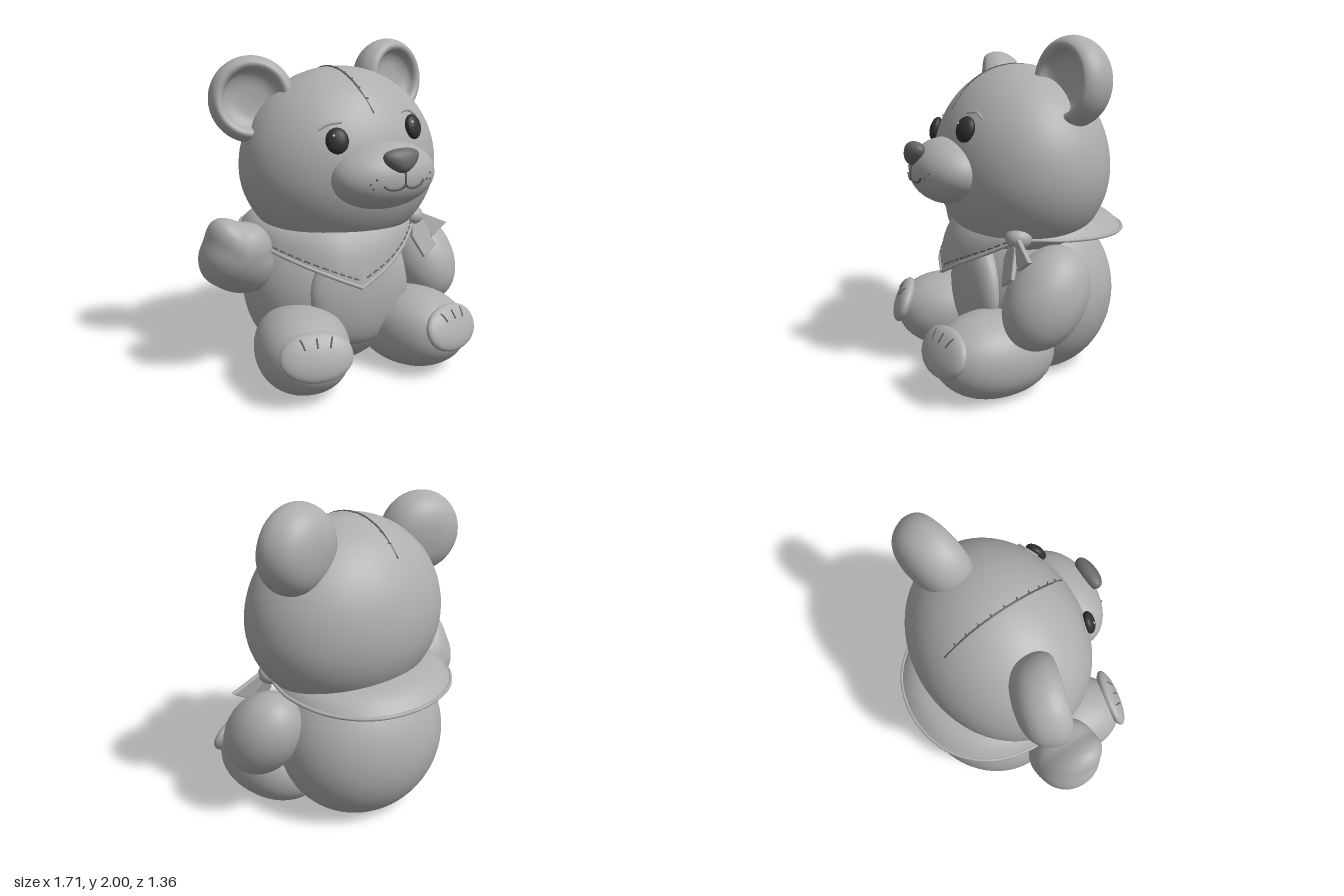
import * as THREE from 'three';
import { mergeVertices } from 'three/addons/utils/BufferGeometryUtils.js';

const paint = (name, color, side = THREE.FrontSide) => {
  const m = new THREE.MeshStandardMaterial({ color, side });
  m.name = name;
  return m;
};
const V = (x, y, z) => new THREE.Vector3(x, y, z);

export function createModel() {
  const root = new THREE.Group();
  root.name = 'teddyBear';
  const fur = paint('fur', 0xaeaeae);
  const cloth = paint('cloth', 0xaeaeae, THREE.DoubleSide);
  const thread = paint('thread', 0x606060);
  const noseMat = paint('nose', 0x686868);
  const eyeMat = paint('eye', 0x303030);
  const shine = paint('eyeShine', 0xdddddd);

  const add = (name, geo, mat) => {
    const m = new THREE.Mesh(geo, mat);
    m.name = name;
    root.add(m);
    return m;
  };

  // Rounded mass: p above 2 gives a fuller shape, low changes the lower half, flat rests it on the floor,
  // outline gives its radius by angle seen from the front, lean tips the top forward
  function blob(name, mat, c, r, { rot = [0, 0, 0], p = 2, low = r[1], taper = 0, lean = 0, outline, flat = false, seg = 48 } = {}) {
    let g = new THREE.SphereGeometry(1, seg, Math.round(seg * 0.7));
    g.deleteAttribute('uv');
    g.deleteAttribute('normal');
    g = mergeVertices(g, 1e-5);
    const turn = new THREE.Euler(...rot), pos = g.attributes.position, v = V(0, 0, 0);
    for (let i = 0; i < pos.count; i++) {
      v.fromBufferAttribute(pos, i);
      v.multiplyScalar(Math.pow(Math.abs(v.x) ** p + Math.abs(v.y) ** p + Math.abs(v.z) ** p, -1 / p));
      v.x *= 1 + taper * v.y;
      const k = outline ? outline.getPoint((Math.atan2(v.y, v.x) / (2 * Math.PI) + 1) % 1).x : 1;
      v.set(v.x * r[0] * k, v.y * (v.y < 0 ? low : r[1]) * k, v.z * r[2]).applyEuler(turn);
      v.z += lean * v.y;
      v.add(V(...c));
      if (flat) v.y = Math.max(v.y, 0.005);
      pos.setXYZ(i, v.x, v.y, v.z);
    }
    g.computeVertexNormals();
    return add(name, g, mat);
  }

  const line = (name, pts, radius, mat = thread) =>
    add(name, new THREE.TubeGeometry(new THREE.CatmullRomCurve3(pts), Math.max(2, pts.length * 4), radius, 6), mat);

  // Height of the head and muzzle surfaces, used to lay details on them
  const head = { c: [0.065, 1.25, -0.033], r: [0.625, 0.59, 0.508] };
  const muzzle = { c: [0.095, 1.245, 0.425], r: [0.325, 0.192, 0.22] };
  const root2 = (a, b) => Math.sqrt(Math.max(0, 1 - a * a - b * b));
  const onFront = (s, x, y, lift = 0) =>
    V(x, y, s.c[2] + lift + s.r[2] * root2((x - s.c[0]) / s.r[0], (y - s.c[1]) / s.r[1]));
  const onTop = (x, z, lift = 0) =>
    V(x, head.c[1] + lift + head.r[1] * root2((x - head.c[0]) / head.r[0], (z - head.c[2]) / head.r[2]), z);

  // Body, belly patch and head
  blob('body', fur, [0.03, 0.475, -0.135], [0.54, 0.53, 0.482], { flat: true, seg: 64 });
  blob('belly', fur, [0.055, 0.51, 0.25], [0.335, 0.34, 0.122]);
  blob('head', fur, head.c, head.r, { low: 0.535, seg: 72 });
  blob('muzzle', fur, muzzle.c, muzzle.r, { rot: [0, 0, 0.05] });
  blob('nose', noseMat, [0.092, 1.35, 0.622], [0.1, 0.068, 0.055], { taper: 0.42, p: 2.2, rot: [-0.2, 0, 0.05], seg: 32 });

  // Cupped ears
  const earProfile = new THREE.SplineCurve([
    [0, -0.165], [0.1, -0.155], [0.18, -0.122], [0.23, -0.066], [0.25, 0.01], [0.237, 0.07],
    [0.207, 0.103], [0.177, 0.092], [0.157, 0.05], [0.1, 0.02], [0, 0.012],
  ].map(([x, y]) => new THREE.Vector2(x, y))).getPoints(44);
  earProfile.forEach((q) => { q.x = Math.max(0, q.x); });
  for (const [name, x, y, z, ry] of [['rightEar', -0.475, 1.652, -0.095, -0.3], ['leftEar', 0.492, 1.75, -0.165, 0.25]]) {
    const ear = add(name, new THREE.LatheGeometry(earProfile, 48).rotateX(Math.PI / 2), fur);
    ear.position.set(x, y, z);
    ear.rotation.set(-0.08, ry, 0);
  }

  // Arms: the right one raised with an upturned paw, the left one resting
  const pawOutline = new THREE.CatmullRomCurve3(
    [0.205, 0.205, 0.208, 0.21, 0.268, 0.225, 0.225, 0.222, 0.215, 0.24, 0.27, 0.245].map((r) => V(r, 0, 0)), true, 'catmullrom');
  blob('rightArm', fur, [-0.63, 0.765, 0.01], [1, 1, 0.195], { outline: pawOutline, p: 2.1, lean: 0.25, seg: 64 });
  blob('leftArm', fur, [0.635, 0.6, 0.045], [0.215, 0.305, 0.22], { rot: [-0.6, 0, 0.14], p: 2.05 });

  // Legs, sole pads and toe stitches, mirrored about the body's middle
  for (const s of [-1, 1]) {
    const side = s < 0 ? 'right' : 'left', mid = 0.04;
    blob(side + 'Leg', fur, [mid + s * 0.385, 0.233, 0.27], [0.275, 0.245, 0.37], { rot: [-0.06, s * 0.25, 0], p: 2.15, flat: true });
    const turn = new THREE.Euler(-0.4, s * 0.25, 0, 'YXZ');
    const padAt = V(mid + s * 0.452, 0.31, 0.59);
    const pad = blob(side + 'SolePad', fur, [0, 0, 0], [0.205, 0.138, 0.055], { p: 2.1 });
    pad.position.copy(padAt);
    pad.rotation.copy(turn);
    for (const k of [-1, 0, 1]) {
      const at = (x, y) => V(x, y, 0.055 * root2(x / 0.205, y / 0.138) + 0.002).applyEuler(turn).add(padAt);
      line(side + 'ToeStitch', [at(k * 0.07, 0.045 - Math.abs(k) * 0.005), at(k * 0.08, 0.075), at(k * 0.09, 0.1)], 0.005);
    }
  }

  // Eyes with highlights, and brows
  for (const [x, y] of [[-0.19, 1.45], [0.32, 1.5]]) {
    const p = onFront(head, x, y, 0.015);
    const ry = Math.sign(x) * 0.42;
    blob('eye', eyeMat, p.toArray(), [0.064, 0.073, 0.036], { rot: [-0.3, ry, 0], seg: 32 });
    blob('eyeHighlight', shine, onFront(head, x - 0.025, y + 0.03, 0.047).toArray(), [0.009, 0.009, 0.009], { seg: 10 });
  }
  const brows = [[[-0.27, 1.505], [-0.215, 1.535], [-0.145, 1.545]], [[0.255, 1.585], [0.325, 1.59], [0.385, 1.56]]];
  for (const b of brows) line('eyebrow', b.map(([x, y]) => onFront(head, x, y, 0.004)), 0.008, fur);

  // Mouth and freckles
  const mouth = [
    [[0.105, 1.3], [0.105, 1.26], [0.105, 1.22]],
    [[0.105, 1.22], [0.085, 1.202], [0.045, 1.195], [0, 1.202], [-0.025, 1.222]],
    [[0.105, 1.22], [0.13, 1.203], [0.17, 1.198], [0.215, 1.213], [0.238, 1.238]],
  ];
  for (const m of mouth) line('mouth', m.map(([x, y]) => onFront(muzzle, x, y, 0.003)), 0.0065);
  for (const [x, y] of [[-0.09, 1.23], [-0.06, 1.255], [-0.075, 1.205], [0.27, 1.235], [0.3, 1.265], [0.305, 1.23]])
    blob('freckle', thread, onFront(muzzle, x, y).toArray(), [0.0065, 0.0065, 0.0065], { seg: 10 });

  // Seam over the crown with small cross stitches
  const seam = [[-0.005, -0.4], [-0.01, -0.25], [-0.01, -0.08], [0, 0.1], [0.02, 0.25], [0.06, 0.385]].map(([x, z]) => onTop(x, z, 0.002));
  line('headSeam', seam, 0.0055);
  const seamCurve = new THREE.CatmullRomCurve3(seam);
  for (let i = 1; i < 11; i++) {
    const p = seamCurve.getPoint(i / 11);
    line('crossStitch', [onTop(p.x - 0.004, p.z, 0.003), onTop(p.x + 0.016, p.z + 0.006, 0.003)], 0.004);
  }

  // Neckerchief: a sheet from a ring under the head out to a hem that drops to a point in front
  const hem = new THREE.CatmullRomCurve3([
    V(-0.035, 0.595, 0.44), V(-0.19, 0.665, 0.4), V(-0.35, 0.738, 0.28), V(-0.46, 0.795, 0.12), V(-0.51, 0.84, -0.12),
    V(-0.44, 0.862, -0.41), V(-0.25, 0.865, -0.6), V(0.03, 0.865, -0.67), V(0.31, 0.865, -0.6), V(0.49, 0.87, -0.41),
    V(0.56, 0.885, -0.12), V(0.5, 0.89, 0.14), V(0.36, 0.8, 0.29), V(0.17, 0.695, 0.4), V(-0.035, 0.595, 0.44),
  ]);
  const sheet = (u, v) => {
    const o = hem.getPoint(u), d = V(o.x - 0.03, 0, o.z + 0.06).normalize();
    const inner = V(0.03 + d.x * 0.39, 0.965 - d.z * 0.02, -0.06 + d.z * 0.39);
    const p = inner.lerp(o, v), bulge = 0.02 * Math.sin(Math.PI * v);
    return p.addScaledVector(d, bulge).add(V(0, bulge, 0));
  };
  const NU = 140, NV = 8, verts = [], idx = [];
  for (let i = 0; i <= NU; i++)
    for (let j = 0; j <= NV; j++) {
      verts.push(...sheet(i / NU, j / NV).toArray());
      if (i < NU && j < NV) {
        const a = i * (NV + 1) + j, b = a + NV + 1;
        idx.push(a, a + 1, b, b, a + 1, b + 1);
      }
    }
  const scarf = new THREE.BufferGeometry();
  scarf.setAttribute('position', new THREE.Float32BufferAttribute(verts, 3));
  scarf.setIndex(idx);
  scarf.computeVertexNormals();
  add('neckerchief', scarf, cloth);
  add('neckerchiefHem', new THREE.TubeGeometry(hem, 140, 0.011, 8), cloth);

  // Dashed stitching along the two front edges
  for (const [from, to, count] of [[0.008, 0.215, 11], [0.79, 0.992, 12]])
    for (let i = 0; i < count; i++) {
      const at = (t) => sheet(from + ((to - from) * (i + t)) / count, 0.9).add(V(0, 0, 0.002));
      line('hemStitch', [at(0.15), at(0.5), at(0.85)], 0.0045);
    }

  // Knot with two loose tails
  blob('knot', cloth, [0.49, 0.91, 0.15], [0.075, 0.065, 0.075], { seg: 28 });
  const tails = [
    [[[-0.01, -0.03], [-0.03, -0.13], [0.035, -0.26], [0.125, -0.2], [0.06, -0.05]], -0.3],
    [[[0.03, 0.02], [0.24, -0.07], [0.13, -0.14], [0.04, -0.06]], -0.15],
  ];
  for (const [pts, rx] of tails) {
    const shape = new THREE.Shape(pts.map(([x, y]) => new THREE.Vector2(x, y)));
    const tail = add('knotTail', new THREE.ExtrudeGeometry(shape, { depth: 0.01, bevelSize: 0.008, bevelThickness: 0.008, bevelSegments: 2 }), cloth);
    tail.position.set(0.49, 0.91, 0.17);
    tail.rotation.x = rx;
  }
  return root;
}
